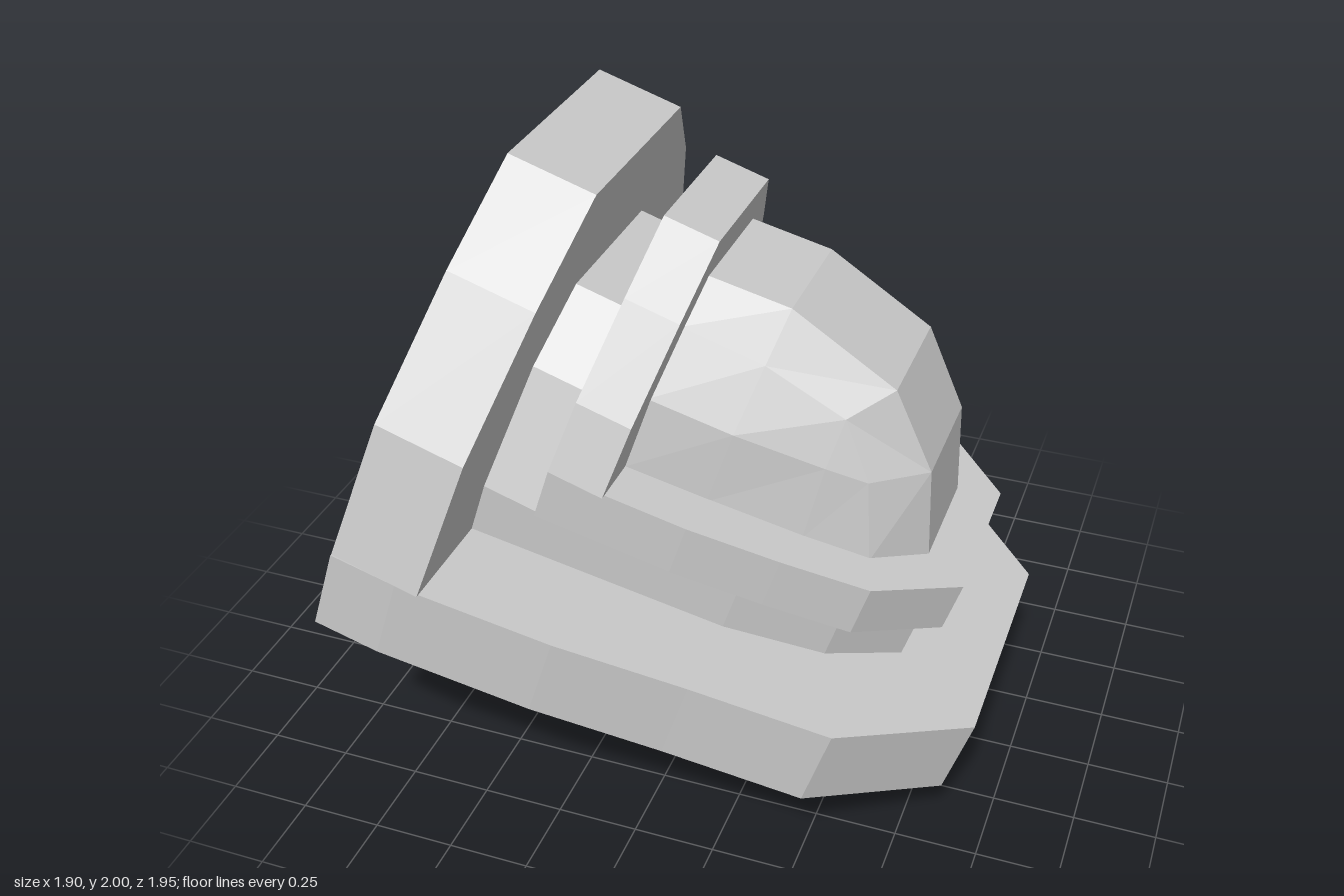
import * as THREE from 'three';
import { mergeGeometries } from 'three/addons/utils/BufferGeometryUtils.js';

const clamp01 = t => Math.min(1, Math.max(0, t));

// Closed U-shaped outline from [length, halfWidth] points listed tip to base.
function uShape(outer, inner, upright) {
  const flip = p => [p[0], -p[1]];
  const loop = [
    ...[...outer].reverse(), ...outer.map(flip),
    ...[...inner].reverse().map(flip), ...inner,
  ];
  return new THREE.Shape(loop.map(([l, w]) => upright ? new THREE.Vector2(w, l) : new THREE.Vector2(l, w)));
}

function extrude(shape, depth) {
  return new THREE.ExtrudeGeometry(shape, { depth, bevelEnabled: false });
}

// Flat-shaded skin over rows of points.
function skin(rows) {
  const verts = [];
  for (let i = 0; i < rows.length - 1; i++) {
    for (let j = 0; j < rows[i].length - 1; j++) {
      const [p, q, r, s] = [rows[i][j], rows[i + 1][j], rows[i + 1][j + 1], rows[i][j + 1]];
      verts.push(...p, ...q, ...r, ...p, ...r, ...s);
    }
  }
  const geo = new THREE.BufferGeometry();
  geo.setAttribute('position', new THREE.Float32BufferAttribute(verts, 3));
  geo.computeVertexNormals();
  return geo;
}

// Rows for one side followed by their mirror image across z = 0.
function mirrored(half) {
  return [...half, ...[...half].reverse().map(row => row.map(([x, y, z]) => [x, y, -z]))];
}

// U-shaped solid from four-cornered sections on one side, with closed ends.
function uSolid(half) {
  const rows = mirrored(half);
  const end = ([a, b, c, d]) => skin([[a, d], [b, c]]);
  const last = [...rows[rows.length - 1]].reverse();
  return mergeGeometries([skin(rows.map(r => [...r, r[0]])), end(rows[0]), end(last)]);
}

export function createModel() {
  const grey = new THREE.MeshStandardMaterial({ color: 0xc9c9c9, side: THREE.DoubleSide });
  grey.name = 'grey';

  const model = new THREE.Group();
  model.name = 'armourPad';
  const add = (parent, name, geo) => {
    const mesh = new THREE.Mesh(geo, grey);
    mesh.name = name;
    parent.add(mesh);
  };

  // The stepped shell leans forward: local x runs out, y up the arch, z across.
  const shell = new THREE.Group();
  shell.name = 'shell';
  shell.position.set(-0.88, 0.74, 0.045);
  shell.rotation.z = -0.312;
  model.add(shell);

  // Outer rim, its opening widening downward.
  // [outer x, outer z, upper opening x, z, lower opening x, z]
  const rimHalf = [
    [0, 0.93, 0, 0.51, 0, 0.51],
    [0.2, 0.925, 0.2, 0.5, 0.2, 0.51],
    [0.66, 0.86, 0.66, 0.46, 0.66, 0.51],
    [1.05, 0.775, 1.05, 0.42, 1.05, 0.5],
    [1.47, 0.695, 1.3, 0.35, 1.38, 0.45],
    [1.835, 0.39, 1.49, 0.2, 1.58, 0.25],
  ].map(([x, z, ux, uz, lx, lz]) => [[x, 0, z], [lx, 0, lz], [ux, 0.27, uz], [x, 0.27, z]]);
  add(shell, 'outerRim', uSolid(rimHalf));

  // Outer arch, its back face dished toward the opening.
  // [outer height, outer half width, inner height, inner half width, dish]
  const archHalf = [
    [0.27, 0.925, 0.27, 0.51, 0],
    [0.69, 0.83, 0.5, 0.49, 0],
    [1.066, 0.57, 0.67, 0.455, 0.005],
    [1.325, 0.32, 0.93, 0.17, 0.07],
  ].map(([v, w, iv, iw, d]) => [[0.27, iv, iw], [d, iv, iw], [0, v, w], [0.27, v, w]]);
  add(shell, 'outerArch', uSolid(archHalf));

  // Inner layers: a flat rim plus an upright arch, from a to b in both directions.
  const layers = [
    {
      name: 'recessed', a: 0.27, b: 0.44,
      rim: [[1.555, 0.235], [1.35, 0.39], [1.05, 0.48], [0.27, 0.58]],
      rimHole: [[1.49, 0.19], [1.3, 0.34], [1.0, 0.42], [0.27, 0.52]],
      arch: [[0.985, 0.25], [0.8, 0.44], [0.44, 0.58]],
      archHole: [[0.92, 0.19], [0.7, 0.42], [0.44, 0.51]],
    },
    {
      name: 'inner', a: 0.44, b: 0.61,
      rim: [[1.625, 0.25], [1.39, 0.45], [1.13, 0.51], [0.855, 0.56], [0.44, 0.6]],
      rimHole: [[1.42, 0.17], [1.25, 0.3], [0.9, 0.36], [0.44, 0.4]],
      arch: [[1.29, 0.212], [1.087, 0.36], [0.82, 0.53], [0.61, 0.6]],
      archHole: [[0.96, 0.17], [0.82, 0.32], [0.61, 0.39]],
    },
  ];
  for (const { name, a, b, rim, rimHole, arch, archHole } of layers) {
    const rimGeo = extrude(uShape(rim, rimHole, false), b - a).rotateX(-Math.PI / 2);
    add(shell, name + 'Rim', rimGeo.translate(0, a, 0));
    const archGeo = extrude(uShape(arch, archHole, true), b - a).rotateY(Math.PI / 2);
    add(shell, name + 'Arch', archGeo.translate(a, 0, 0));
  }

  // Faceted dome: cross-sections [x, y, z] from side base to crown edge, mirrored.
  const front = [1.4, 0.88, 0.185];
  const corner = [1.255, 0.834, 0.3];
  const sections = [
    [[0.6, 0.6, 0.43], [0.6, 0.84, 0.4], [0.6, 1.03, 0.285], [0.6, 1.16, 0.19]],
    [[0.86, 0.6, 0.4], [0.86, 0.84, 0.38], [0.86, 1.03, 0.28], [0.86, 1.18, 0.19]],
    [[1.15, 0.6, 0.36], [1.13, 0.836, 0.33], [1.124, 0.98, 0.275], [1.216, 1.084, 0.19]],
    [[1.35, 0.6, 0.32], corner, corner, front],
    [[1.5, 0.6, 0.18], front, front, front],
  ];
  sections.push(sections[4].map(([x, y]) => [x, y, 0]));
  add(shell, 'dome', skin(sections.map(s => mirrored(s.map(p => [p])).map(r => r[0]))));

  // Hanging flap on the rear side, narrowing downward and forward.
  const flapOutline = [[-0.88, 0.74], [-0.95, 0.52], [-0.72, 0.075], [-0.5, 0], [-0.37, 0.07], [-0.31, 0.25], [0, 0.457]];
  const flapGeo = extrude(new THREE.Shape(flapOutline.map(p => new THREE.Vector2(...p))), 1);
  const fp = flapGeo.attributes.position;
  for (let i = 0; i < fp.count; i++) {
    const x = fp.getX(i), y = fp.getY(i);
    const outerZ = -0.786 + 0.129 * x + 0.034 * y;
    const innerZ = -0.47 - 0.07 * clamp01(1 - y / 0.5) - 0.26 * clamp01((x + 0.3) / 0.3);
    fp.setZ(i, fp.getZ(i) > 0.5 ? innerZ : outerZ);
  }
  flapGeo.computeVertexNormals();
  add(model, 'sideFlap', flapGeo);

  // Boss: a turned square with cut corners and a sunken centre.
  const halfOutline = [[0.295, -0.025], [0.16, 0.245], [0.02, 0.295], [-0.255, 0.155]];
  const outline = (sx, sy) => [...halfOutline, ...halfOutline.map(([x, y]) => [-x, -y])]
    .map(([x, y]) => new THREE.Vector2(-x * sx, y * sy));
  const boss = new THREE.Group();
  boss.name = 'boss';
  boss.position.set(-0.473, 0.793, -0.845);
  boss.rotation.y = Math.PI - 0.085;
  model.add(boss);
  const ring = new THREE.Shape(outline(1, 1));
  ring.holes.push(new THREE.Path(outline(0.54, 0.6)));
  add(boss, 'bossRing', extrude(ring, 0.108));
  add(boss, 'bossCentre', extrude(new THREE.Shape(outline(0.7, 0.75)), 0.06));

  return model;
}
